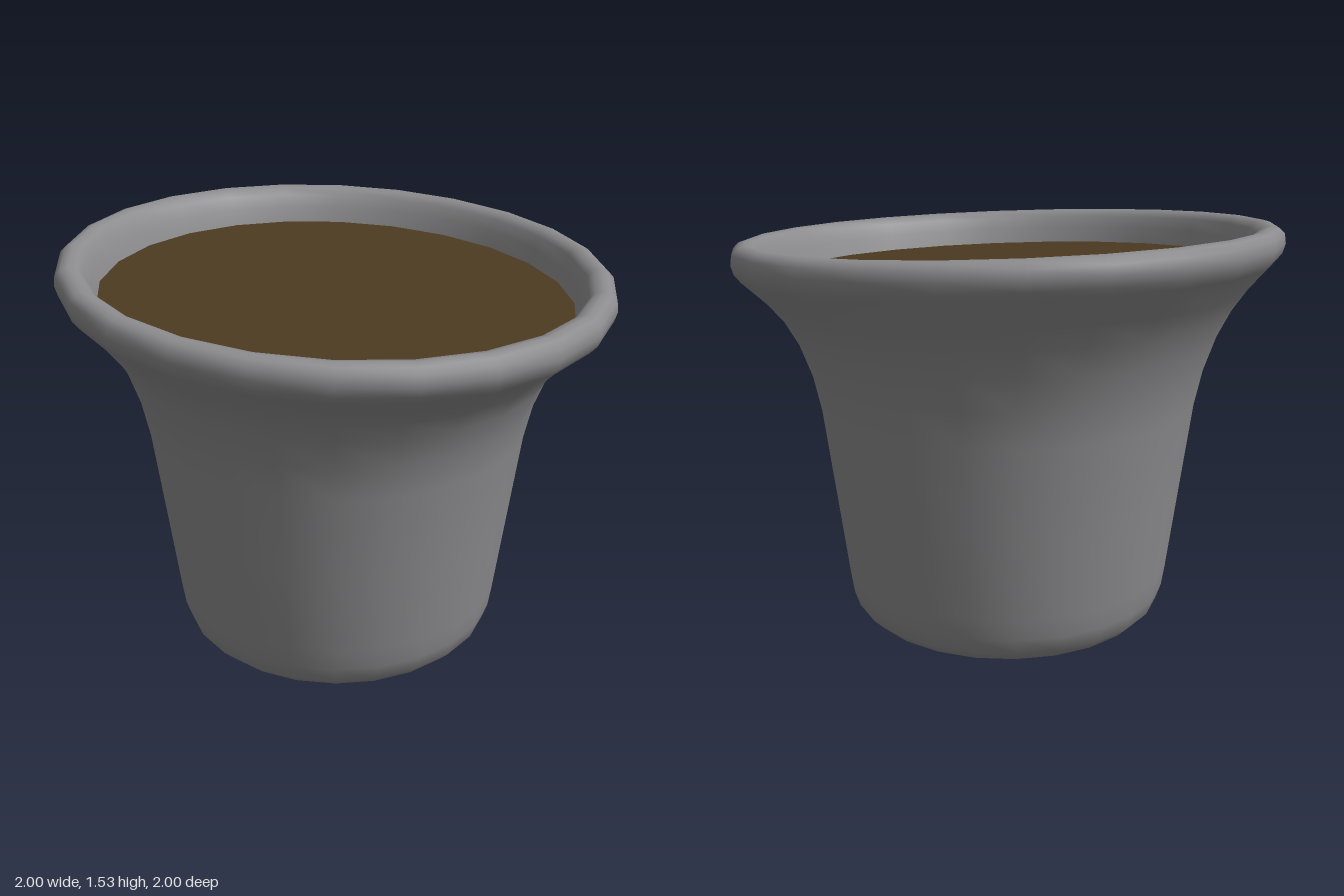
import * as THREE from 'three';
import { mergeVertices } from 'three/addons/utils/BufferGeometryUtils.js';

const SIDES = 24;

// Shear the upper part so the mouth slopes down toward the front left.
function tiltMouth(geometry) {
  const p = geometry.attributes.position;
  for (let i = 0; i < p.count; i++) {
    const w = THREE.MathUtils.clamp((p.getY(i) - 0.85) / 0.48, 0, 1) ** 2;
    p.setY(i, p.getY(i) - 0.044 * w * (p.getX(i) + p.getZ(i)));
  }
  return geometry;
}

export function createModel() {
  const group = new THREE.Group();
  group.name = 'plantPot';

  const clay = new THREE.MeshStandardMaterial({ color: 0x8c8c8e, side: THREE.DoubleSide });
  clay.name = 'greyClay';
  const earth = new THREE.MeshStandardMaterial({ color: 0x4d3a21 });
  earth.name = 'brownSoil';

  // Pot: base, tapered wall, flared lip, rolled rim and inner wall
  const profile = [
    [0, 0], [0.46, 0], [0.5, 0.003], [0.55, 0.02], [0.59, 0.06], [0.61, 0.12], [0.622, 0.2],
    [0.664, 0.53], [0.705, 0.85], [0.733, 0.98], [0.776, 1.1], [0.825, 1.19],
    [0.88, 1.26], [0.965, 1.345], [0.99, 1.375], [1.0, 1.41], [0.995, 1.445],
    [0.975, 1.465], [0.95, 1.473], [0.92, 1.466], [0.9, 1.445], [0.88, 1.4],
    [0.862, 1.34], [0.84, 1.26],
  ].map(([x, y]) => new THREE.Vector2(x, y));
  let potGeometry = new THREE.LatheGeometry(profile, SIDES);
  potGeometry.deleteAttribute('uv');
  potGeometry.deleteAttribute('normal');
  potGeometry = tiltMouth(mergeVertices(potGeometry));
  potGeometry.computeVertexNormals();
  const pot = new THREE.Mesh(potGeometry, clay);
  pot.name = 'pot';

  // Soil surface, parallel to the sloping rim
  const soilGeometry = tiltMouth(
    new THREE.CircleGeometry(0.864, SIDES).rotateX(-Math.PI / 2).translate(0, 1.34, 0),
  );
  soilGeometry.computeVertexNormals();
  const soil = new THREE.Mesh(soilGeometry, earth);
  soil.name = 'soil';

  group.add(pot, soil);
  return group;
}
